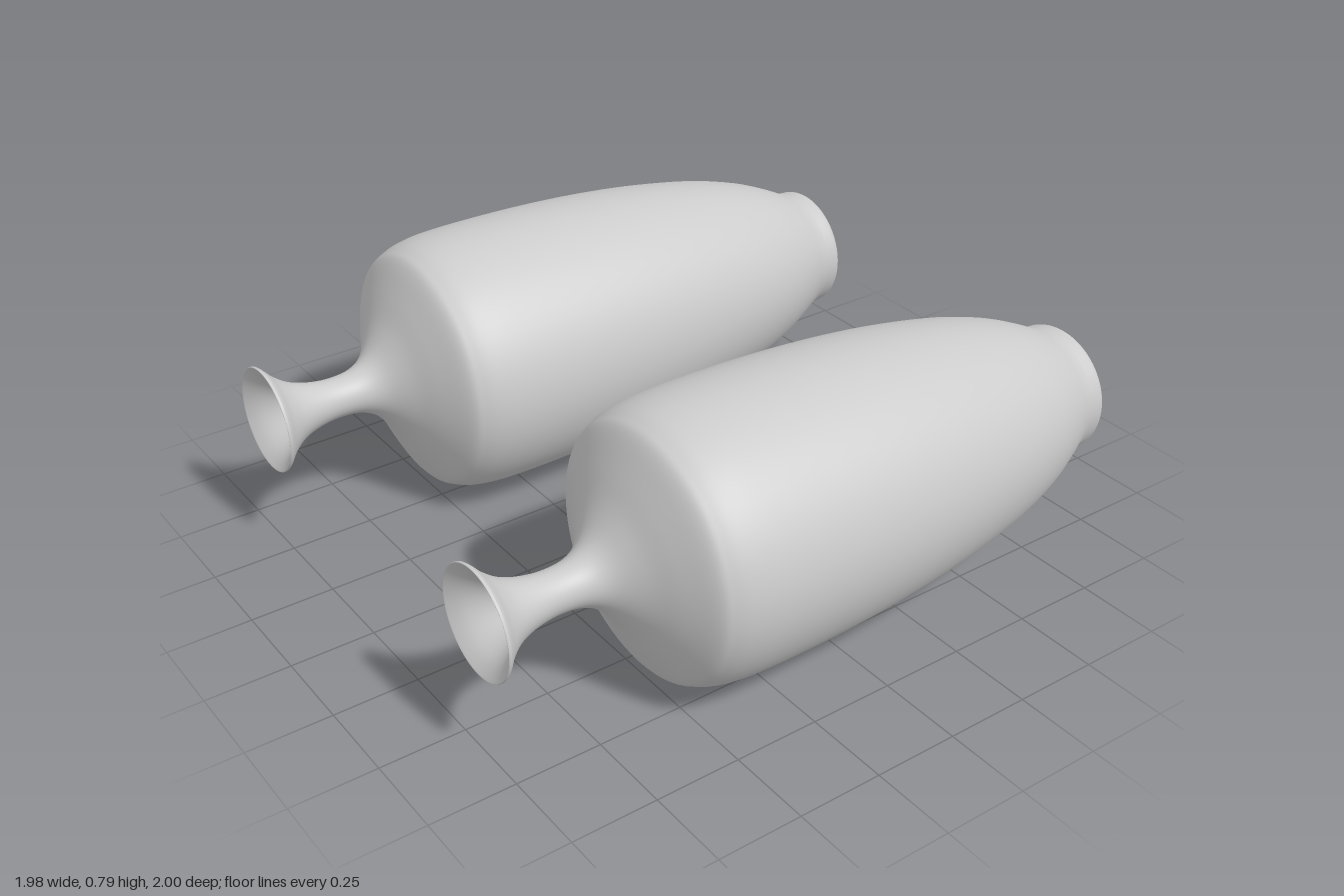
import * as THREE from 'three';

// Smooth run of [radius, height] points
function smooth(points, steps) {
  return new THREE.SplineCurve(points.map(([r, h]) => new THREE.Vector2(r, h))).getPoints(steps);
}

function lathe(name, profile, material) {
  const mesh = new THREE.Mesh(new THREE.LatheGeometry(profile, 72), material);
  mesh.name = name;
  return mesh;
}

function createVase(material) {
  const vase = new THREE.Group();

  // Recessed underside, curving into the rounded foot ring
  const foot = [new THREE.Vector2(0, -0.97), new THREE.Vector2(0.132, -0.97),
    ...smooth([[0.138, -0.971], [0.147, -0.985], [0.158, -0.996], [0.17, -1], [0.182, -0.997],
      [0.19, -0.985], [0.192, -0.965], [0.193, -0.945]], 28)];
  vase.add(lathe('foot', foot, material));

  // Outer wall: belly, shoulder, narrow neck and flared mouth
  const outer = smooth([[0.193, -0.945], [0.203, -0.915], [0.235, -0.85], [0.277, -0.75],
    [0.32, -0.6], [0.356, -0.4], [0.379, -0.2], [0.392, 0], [0.397, 0.2], [0.395, 0.35],
    [0.386, 0.43], [0.37, 0.48], [0.345, 0.515], [0.262, 0.56], [0.17, 0.605], [0.1, 0.655],
    [0.068, 0.71], [0.06, 0.78], [0.068, 0.85], [0.088, 0.91], [0.12, 0.955], [0.15, 0.983],
    [0.159, 0.993]], 110);
  vase.add(lathe('body', outer, material));

  // Thin rim, funnel throat and hollow inside
  const inner = smooth([[0.159, 0.993], [0.159, 0.999], [0.153, 0.998], [0.117, 0.968],
    [0.08, 0.92], [0.046, 0.86], [0.026, 0.78], [0.034, 0.71], [0.07, 0.645], [0.15, 0.58],
    [0.25, 0.53], [0.33, 0.475], [0.358, 0.4], [0.362, 0.2], [0.357, 0], [0.32, -0.4],
    [0.242, -0.75], [0.17, -0.91], [0.12, -0.935]], 90);
  inner.push(new THREE.Vector2(0, -0.935));
  vase.add(lathe('mouthAndInterior', inner, material));

  // Lay it down with the mouth facing forward
  vase.rotation.x = Math.PI / 2;
  return vase;
}

export function createModel() {
  const model = new THREE.Group();
  model.name = 'vasePair';
  const material = new THREE.MeshStandardMaterial({ color: 0xcccccc });
  for (const [name, side] of [['leftVase', 1], ['rightVase', -1]]) {
    const vase = createVase(material);
    vase.name = name;
    vase.position.set(side * 0.591, 0.4, 0);
    model.add(vase);
  }
  return model;
}
